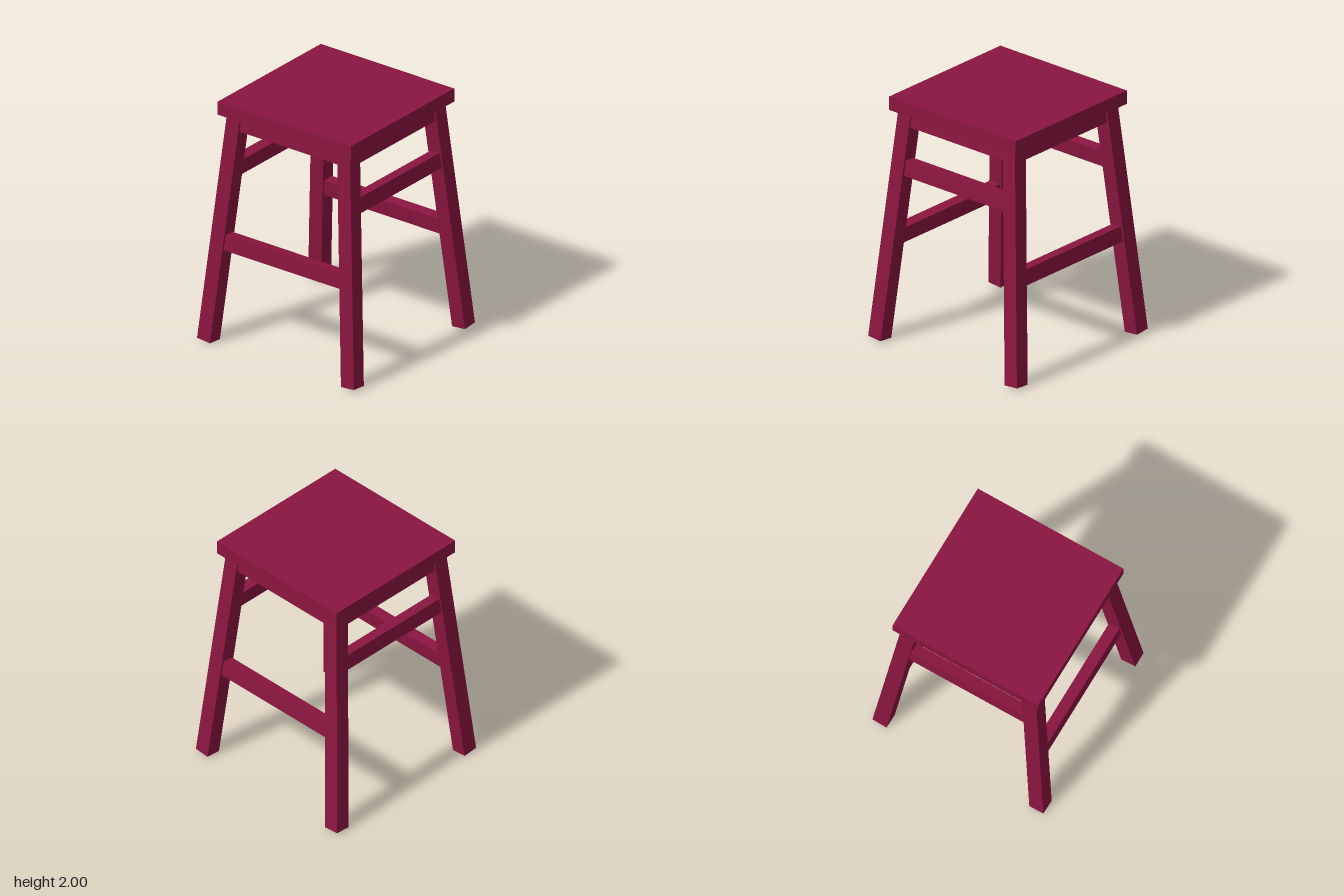
import * as THREE from 'three';

const SPLAY = 0.0866;      // outward lean of the legs per unit of height
const LEG = 0.124;         // leg thickness
const RAIL = 0.09;         // apron and stretcher thickness
const FOOT = 0.691;        // leg centre offset at the floor

const offsetAt = (y) => FOOT - SPLAY * y;

// Tilt a box so that its top leans in, away from direction (sx, sz)
function lean(geometry, sx, sz) {
  const p = geometry.attributes.position;
  for (let i = 0; i < p.count; i++) {
    const x = p.getX(i), y = p.getY(i), z = p.getZ(i);
    p.setXYZ(i, x - SPLAY * sx * y, y + SPLAY * (sx * x + sz * z), z - SPLAY * sz * y);
  }
  geometry.computeVertexNormals();
  return geometry;
}

export function createModel() {
  const material = new THREE.MeshStandardMaterial({ color: 0x8a1540 });
  const stool = new THREE.Group();
  stool.name = 'stool';

  const add = (name, geometry, x, y, z, turn = 0) => {
    const mesh = new THREE.Mesh(geometry, material);
    mesh.name = name;
    mesh.position.set(x, y, z);
    mesh.rotation.y = turn;
    stool.add(mesh);
  };

  // Square seat board
  add('seat', new THREE.BoxGeometry(1.28, 0.11, 1.28), 0, 1.945, 0);

  // Four legs splayed towards the corners
  const legBottom = 0.011, legTop = 1.93;
  const legMid = (legBottom + legTop) / 2;
  for (const sx of [-1, 1]) {
    for (const sz of [-1, 1]) {
      const name = (sz > 0 ? 'front' : 'back') + (sx > 0 ? 'Left' : 'Right') + 'Leg';
      const box = new THREE.BoxGeometry(LEG, legTop - legBottom, LEG);
      add(name, lean(box, sx, sz), sx * offsetAt(legMid), legMid, sz * offsetAt(legMid));
    }
  }

  // Aprons under the seat, and stretchers: high at front and back, low at the sides
  ['front', 'left', 'back', 'right'].forEach((side, i) => {
    const turn = i * Math.PI / 2;
    const rail = (part, y, height) => {
      const d = offsetAt(y);
      const box = new THREE.BoxGeometry(2 * d, height, RAIL);
      add(side + part, lean(box, 0, 1), Math.sin(turn) * d, y, Math.cos(turn) * d, turn);
    };
    rail('Apron', 1.832, 0.127);
    rail('Stretcher', i % 2 ? 0.842 : 1.432, 0.127);
  });

  // The stool stands slightly turned
  stool.rotation.y = THREE.MathUtils.degToRad(10);
  const model = new THREE.Group();
  model.add(stool);
  return model;
}
